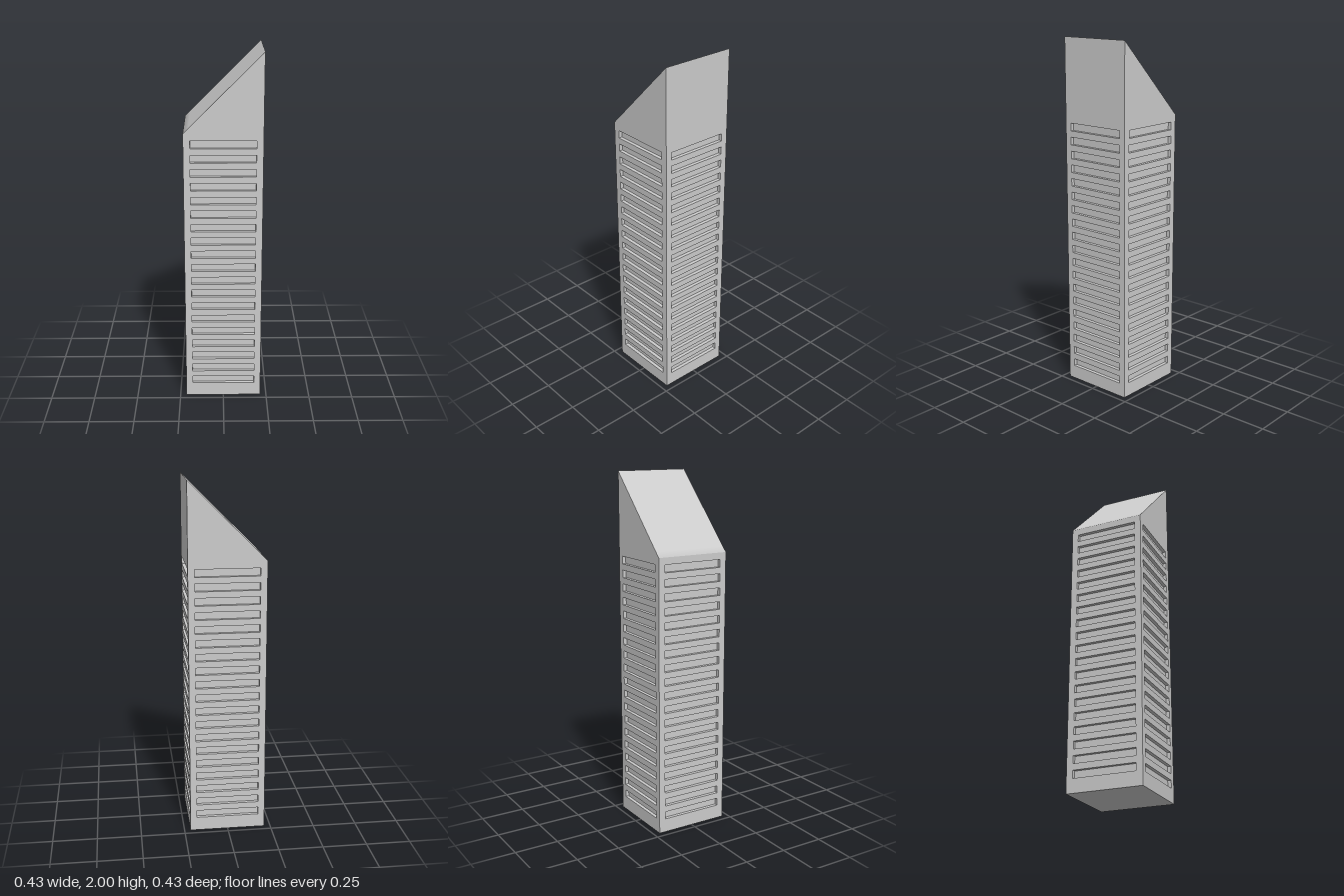
import * as THREE from 'three';
import { mergeGeometries } from 'three/addons/utils/BufferGeometryUtils.js';

const H = 0.215;          // half width of the square plan
const LOW = 1.57, TOP = 2; // heights of the two ends of the sloping roof
const ROWS = 19, PITCH = 0.0783, FIRST = 0.079; // window rows
const WIN = { half: 0.178, height: 0.043, depth: 0.02 };

const material = new THREE.MeshStandardMaterial({ color: 0xcccccc });
const rowBottom = (i) => FIRST + i * PITCH;

// Wall panel in the XY plane facing +z, pierced by the window rows
function wallGeometry(leftTop, rightTop) {
  const shape = new THREE.Shape([
    new THREE.Vector2(-H, 0), new THREE.Vector2(H, 0),
    new THREE.Vector2(H, rightTop), new THREE.Vector2(-H, leftTop),
  ]);
  for (let i = 0; i < ROWS; i++) {
    const y0 = rowBottom(i), y1 = y0 + WIN.height, w = WIN.half;
    shape.holes.push(new THREE.Path([
      new THREE.Vector2(-w, y0), new THREE.Vector2(-w, y1),
      new THREE.Vector2(w, y1), new THREE.Vector2(w, y0),
    ]));
  }
  return new THREE.ShapeGeometry(shape);
}

// Recess behind one window: a box turned inside out, open at the front
function recessGeometry(i) {
  const g = new THREE.BoxGeometry(2 * WIN.half, WIN.height, WIN.depth);
  const index = Array.from(g.index.array);
  index.splice(24, 6);
  g.setIndex(index.reverse());
  g.clearGroups();
  const n = g.attributes.normal;
  for (let k = 0; k < n.count; k++) n.setXYZ(k, -n.getX(k), -n.getY(k), -n.getZ(k));
  return g.translate(0, rowBottom(i) + WIN.height / 2, -WIN.depth / 2);
}

// Sloping roof, with shading softened along its lower edge
function roofGeometry() {
  const position = [], normal = [], index = [];
  const s = Math.SQRT1_2;
  const rows = [[-H, -0.92, 0.38], [-H + 0.03, -s, s], [H, -s, s]];
  rows.forEach(([x, nx, ny], r) => {
    const y = LOW + (x + H) / (2 * H) * (TOP - LOW);
    position.push(x, y, -H, x, y, H);
    normal.push(nx, ny, 0, nx, ny, 0);
    if (r) {
      const a = 2 * r - 2;
      index.push(a, a + 1, a + 3, a, a + 3, a + 2);
    }
  });
  const g = new THREE.BufferGeometry();
  g.setAttribute('position', new THREE.Float32BufferAttribute(position, 3));
  g.setAttribute('normal', new THREE.Float32BufferAttribute(normal, 3));
  g.setIndex(index);
  return g;
}

export function createModel() {
  const tower = new THREE.Group();
  tower.name = 'tower';
  const recesses = mergeGeometries(Array.from({ length: ROWS }, (_, i) => recessGeometry(i)));

  // Four facades: name, heights of the left and right ends as seen from outside
  const sides = [
    ['front', LOW, TOP], ['left', TOP, TOP], ['back', TOP, LOW], ['right', LOW, LOW],
  ];
  sides.forEach(([name, leftTop, rightTop], i) => {
    const facade = new THREE.Group();
    facade.name = name + 'Facade';
    const wall = new THREE.Mesh(wallGeometry(leftTop, rightTop), material);
    wall.name = name + 'Wall';
    const windows = new THREE.Mesh(recesses, material);
    windows.name = name + 'Windows';
    facade.add(wall, windows);
    facade.rotation.y = i * Math.PI / 2;
    facade.position.set(Math.sin(facade.rotation.y) * H, 0, Math.cos(facade.rotation.y) * H);
    tower.add(facade);
  });

  const roof = new THREE.Mesh(roofGeometry(), material);
  roof.name = 'roof';
  tower.add(roof);

  const base = new THREE.Mesh(new THREE.PlaneGeometry(2 * H, 2 * H).rotateX(Math.PI / 2), material);
  base.name = 'base';
  tower.add(base);
  return tower;
}
